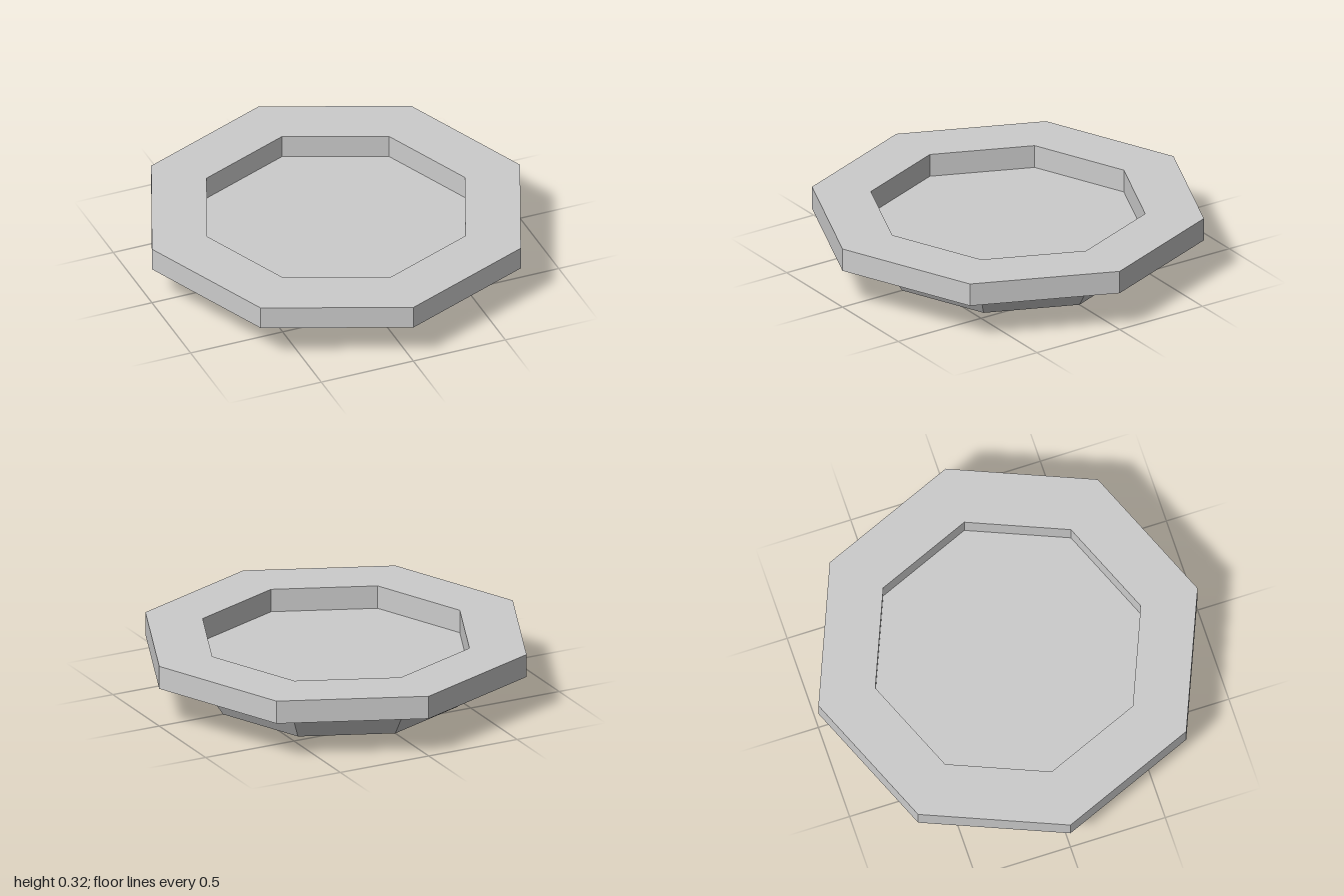
import * as THREE from 'three';

const SIDES = 8;

// Faceted ring of revolution from a profile of [radius, height] pairs, corners on the axes
function facetedPart(name, profile, material) {
  const points = profile.map(([r, y]) => new THREE.Vector2(r, y));
  const geometry = new THREE.LatheGeometry(points, SIDES).toNonIndexed();
  geometry.computeVertexNormals();
  const mesh = new THREE.Mesh(geometry, material);
  mesh.name = name;
  return mesh;
}

export function createModel() {
  const grey = new THREE.MeshStandardMaterial({ color: 0xcccccc, flatShading: true });
  grey.name = 'plainGrey';

  const group = new THREE.Group();
  group.name = 'octagonalDish';

  // Tapered foot, closed underneath
  group.add(facetedPart('foot', [[0, 0], [0.64, 0], [0.77, 0.2]], grey));

  // Wide rim: underside, outer edge, top and inner wall
  group.add(facetedPart('rim', [[0.77, 0.2], [1, 0.2], [1, 0.32], [0.7, 0.32], [0.7, 0.2]], grey));

  // Sunken floor
  group.add(facetedPart('floor', [[0.7, 0.2], [0, 0.2]], grey));

  return group;
}
